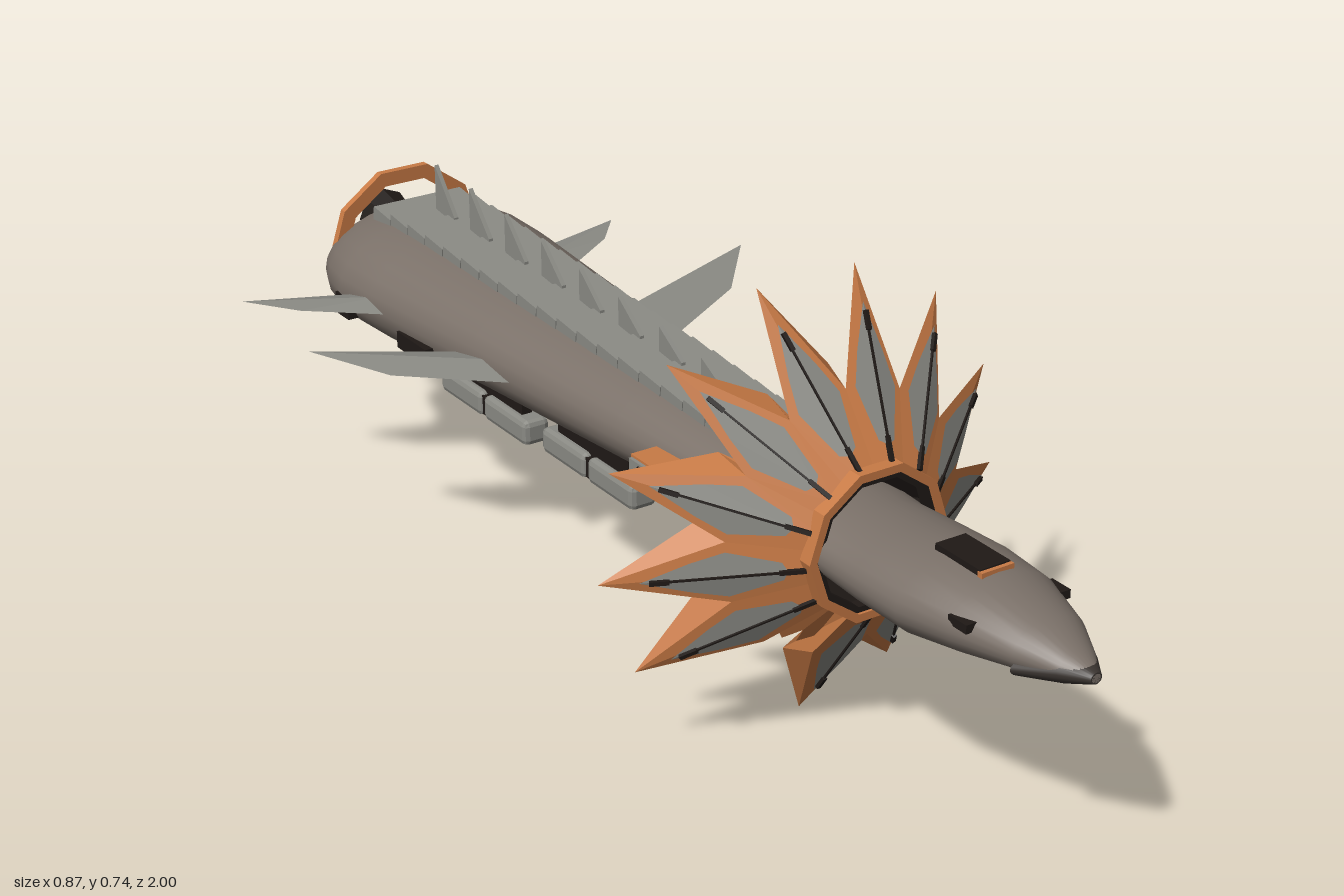
import * as THREE from 'three';
import { RoundedBoxGeometry } from 'three/addons/geometries/RoundedBoxGeometry.js';

const CX = -0.037, CY = 0.375; // long axis of the hull
const mat = (color, flatShading = true) =>
  new THREE.MeshStandardMaterial({ color, flatShading, side: THREE.DoubleSide });
const HULL = mat(0x7a7068, false), PLATE = mat(0x8a8a84), ORANGE = mat(0xc87a45), DARK = mat(0x1f1916);

function add(parent, name, geometry, material, x = 0, y = 0, z = 0) {
  const m = new THREE.Mesh(geometry, material);
  m.name = name;
  m.position.set(x, y, z);
  parent.add(m);
  return m;
}
const box = (w, h, d) => new THREE.BoxGeometry(w, h, d);

// Flat facets, each a loop of [x, y, z] corners
function facets(loops) {
  const p = [];
  for (const l of loops)
    for (let i = 1; i < l.length - 1; i++) p.push(...l[0], ...l[i], ...l[i + 1]);
  const g = new THREE.BufferGeometry();
  g.setAttribute('position', new THREE.Float32BufferAttribute(p, 3));
  g.computeVertexNormals();
  return g;
}

// Hull cross-sections: z, half width, top, bottom
const HULL_SECTIONS = [
  [1.0, 0.008, 0.384, 0.37], [0.96, 0.035, 0.402, 0.355], [0.9, 0.066, 0.425, 0.345],
  [0.8, 0.098, 0.446, 0.328], [0.7, 0.113, 0.447, 0.312], [0.6, 0.113, 0.44, 0.313],
  [0.5, 0.11, 0.432, 0.32], [0.3, 0.115, 0.45, 0.32], [0, 0.137, 0.465, 0.3],
  [-0.4, 0.167, 0.475, 0.28], [-0.7, 0.197, 0.482, 0.266], [-0.8, 0.2, 0.482, 0.262],
  [-0.87, 0.187, 0.475, 0.266], [-0.92, 0.165, 0.46, 0.275],
];
function hullAt(z) {
  const i = Math.max(1, HULL_SECTIONS.findIndex(s => s[0] <= z));
  const a = HULL_SECTIONS[i - 1], b = HULL_SECTIONS[i], t = (a[0] - z) / (a[0] - b[0]);
  const [, rx, top, bottom] = a.map((v, k) => v + (b[k] - v) * t);
  return { rx, top, bottom };
}
function hullGeometry(sections) {
  const n = sections.length - 1;
  const g = new THREE.CylinderGeometry(1, 1, 1, 28, n).rotateX(Math.PI / 2);
  const p = g.attributes.position;
  for (let i = 0; i < p.count; i++) {
    const [z, rx, top, bottom] = sections[Math.round((0.5 - p.getZ(i)) * n)];
    p.setXYZ(i, CX + p.getX(i) * rx, (top + bottom) / 2 + p.getY(i) * (top - bottom) / 2, z);
  }
  g.computeVertexNormals();
  return g;
}

function ringGeometry(outer, inner, depth, sides) {
  const pts = r => Array.from({ length: sides }, (_, i) => {
    const a = i / sides * Math.PI * 2;
    return new THREE.Vector2(Math.cos(a) * r, Math.sin(a) * r);
  });
  const s = new THREE.Shape(pts(outer));
  s.holes.push(new THREE.Path(pts(inner)));
  return new THREE.ExtrudeGeometry(s, { depth, bevelEnabled: false });
}

// Point on the swept-back, slightly folded petal surface
const petalPoint = (u, r, lift = 0) => [u, r, 0.5 - 0.7 * (r - 0.12) - 0.2 * Math.abs(u) + lift];
const foldedHalves = (outline, lift) => [1, -1].map(s => outline.map(([u, r]) => petalPoint(s * u, r, lift)));

function makePetal() {
  const g = new THREE.Group();
  g.name = 'petal';
  const edge = [petalPoint(0.03, 0.112), petalPoint(0.052, 0.21), petalPoint(0, 0.373)];
  const back = [petalPoint(0.05, 0.115, -0.03), petalPoint(0.066, 0.225, -0.045)];
  add(g, 'petalShell', facets([
    ...foldedHalves([[0, 0.112], [0.03, 0.112], [0.052, 0.21], [0, 0.373]], 0),
    [edge[0], back[0], back[1], edge[1]],
    [edge[1], back[1], edge[2]],
  ]), ORANGE);
  add(g, 'petalPanel', facets(
    foldedHalves([[0, 0.145], [0.015, 0.15], [0.038, 0.215], [0.025, 0.26], [0, 0.325]], 0.005)), PLATE);
  // Centre rib and its thicker ends, plus slots on the rear face
  for (const [r, len, w, lift] of [[0.23, 0.2, 0.003, 0.005], [0.302, 0.03, 0.007, 0.008],
    [0.14, 0.04, 0.007, 0.006], [0.27, 0.04, 0.006, -0.004], [0.2, 0.03, 0.006, -0.004]]) {
    add(g, 'petalRib', box(w, len, 0.006), DARK, ...petalPoint(0, r, lift)).rotation.x = -Math.atan(0.7);
  }
  return g;
}

// Swept side fin, a flattened spear with a central ridge
function finGeometry(side, rootX, zFront, zRear, tip) {
  const y = CY, x = CX + side * rootX, midZ = (zFront + zRear) / 2;
  const front = [x, y, zFront], rear = [x, y, zRear];
  const shoulder = [x + (tip[0] - x) * 0.68, y + 0.012, zFront + (tip[2] - zFront) * 0.5];
  const loops = [];
  for (const h of [0.014, -0.014]) {
    const ridge = [x, y + h, midZ];
    loops.push([front, shoulder, ridge], [shoulder, tip, ridge], [tip, rear, ridge]);
  }
  return facets(loops);
}

export function createModel() {
  const model = new THREE.Group();
  model.name = 'spacecraft';

  // Hull and nose
  add(model, 'hull', hullGeometry(HULL_SECTIONS), HULL);
  add(model, 'noseTip', hullGeometry([[1.0, 0.01, 0.386, 0.368], [0.96, 0.037, 0.398, 0.353],
    [0.9, 0.068, 0.385, 0.343]]), mat(0x3a3430, false));
  add(model, 'cockpitWindow', box(0.055, 0.018, 0.1), DARK, CX, 0.445, 0.73);
  add(model, 'cockpitSill', box(0.058, 0.012, 0.01), ORANGE, CX, 0.446, 0.782);
  for (const s of [1, -1])
    add(model, 'eyeSlot', box(0.02, 0.014, 0.04), DARK, CX + s * 0.084, 0.405, 0.815);

  // Collar with thirteen petal places, one broken off
  const bloom = new THREE.Group();
  bloom.name = 'bloom';
  bloom.position.set(CX, CY, 0);
  model.add(bloom);
  add(bloom, 'collarRing', ringGeometry(0.128, 0.114, 0.025, 10), ORANGE, 0, 0, 0.493);
  add(bloom, 'collarInnerRing', ringGeometry(0.114, 0.104, 0.02, 10), DARK, 0, 0, 0.493);
  add(bloom, 'collarFunnel', new THREE.CylinderGeometry(0.113, 0.07, 0.1, 10, 1, true).rotateX(Math.PI / 2),
    DARK, 0, 0, 0.45);
  for (let k = 0; k < 13; k++) {
    const petal = k < 12 ? makePetal() : add(bloom, 'brokenPetalStub',
      facets(foldedHalves([[0, 0.112], [0.03, 0.112], [0.045, 0.18], [0.015, 0.2], [0, 0.175]], -0.02)), ORANGE);
    petal.rotation.z = Math.PI + k * Math.PI * 2 / 13;
    bloom.add(petal);
  }

  // Overlapping back plates
  for (let i = 0; i < 20; i++) {
    const z = 0.31 - i * 0.0605;
    const p = add(model, 'backPlate', box(0.13 + i * 0.0025, 0.03, 0.06), PLATE, CX, hullAt(z).top - 0.009, z);
    p.rotation.x = 0.12;
  }
  // Row of back fins growing toward the tail
  for (let i = 0; i < 9; i++) {
    const z = 0.175 - i * 0.1206, h = 0.03 + i * 0.0065;
    const s = new THREE.Shape([new THREE.Vector2(0, -0.02), new THREE.Vector2(0.065, -0.02),
      new THREE.Vector2(0.065, 0.002), new THREE.Vector2(0, h)]);
    const g = new THREE.ExtrudeGeometry(s, { depth: 0.008, bevelEnabled: false }).rotateY(-Math.PI / 2);
    add(model, 'backFin', g, PLATE, CX + 0.004, hullAt(z).top + 0.008, z);
  }
  add(model, 'hatchBase', box(0.068, 0.03, 0.06), PLATE, CX, 0.468, 0.33);
  add(model, 'hatchTop', box(0.045, 0.008, 0.04), DARK, CX, 0.484, 0.33);

  // Side fins
  add(model, 'rightForeFin', finGeometry(-1, 0.14, -0.27, -0.43, [-0.437, 0.404, -0.525]), PLATE);
  add(model, 'leftForeFin', finGeometry(1, 0.14, -0.27, -0.43, [0.43, 0.407, -0.51]), PLATE);
  add(model, 'rightAftFin', finGeometry(-1, 0.17, -0.64, -0.76, [-0.42, 0.39, -0.815]), PLATE);
  add(model, 'leftAftFin', finGeometry(1, 0.17, -0.64, -0.76, [0.333, 0.385, -0.795]), PLATE);

  for (const s of [1, -1]) {
    // Belly pods, each of two segments joined by bands
    for (const [z0, z1, y] of [[0.015, -0.27, 0.267], [-0.315, -0.61, 0.252]]) {
      const len = (z0 - z1) / 2, x = CX + s * 0.085;
      for (const i of [0, 1])
        add(model, 'bellyPod', new RoundedBoxGeometry(0.05, 0.045, len - 0.006, 1, 0.01), PLATE,
          x, y, z0 - len * (i + 0.5));
      add(model, 'podBand', box(0.04, 0.035, len * 1.6), DARK, x, y, (z0 + z1) / 2);
      add(model, 'podMount', box(0.02, 0.06, len * 1.5), DARK, x, y + 0.035, (z0 + z1) / 2);
    }
    // Side boxes behind the collar
    add(model, 'sideBox', box(0.06, 0.03, 0.12), PLATE, CX + s * 0.147, 0.386, 0.17);
    add(model, 'sideBoxFrame', box(0.056, 0.038, 0.127), ORANGE, CX + s * 0.143, 0.386, 0.17);
    for (const z of [0.14, 0.2])
      add(model, 'sideBoxBand', box(0.066, 0.022, 0.006), DARK, CX + s * 0.147, 0.386, z);
    // Hull ports
    add(model, 'aftPort', box(0.02, 0.04, 0.045), DARK, CX + s * 0.192, 0.348, -0.79);
    add(model, 'smallPort', box(0.012, 0.012, 0.02), DARK, CX + s * 0.12, 0.395, 0.29);
  }
  add(model, 'sidePort', box(0.02, 0.03, 0.1), DARK, CX - 0.18, 0.345, -0.56);

  // Tail ring and three engine bells
  add(model, 'tailRing', ringGeometry(0.155, 0.128, 0.014, 10), ORANGE, CX, 0.38, -0.925);
  for (const [x, y] of [[0, 0.412], [0.066, 0.345], [-0.066, 0.345]]) {
    const bell = new THREE.LatheGeometry([[0.028, 0.1], [0.036, 0.06], [0.05, 0], [0.044, 0.002], [0.022, 0.07], [0, 0.07]]
      .map(([r, h]) => new THREE.Vector2(r, h)), 8).rotateX(Math.PI / 2);
    add(model, 'engineBell', bell, DARK, CX + x, y, -1);
  }
  return model;
}
